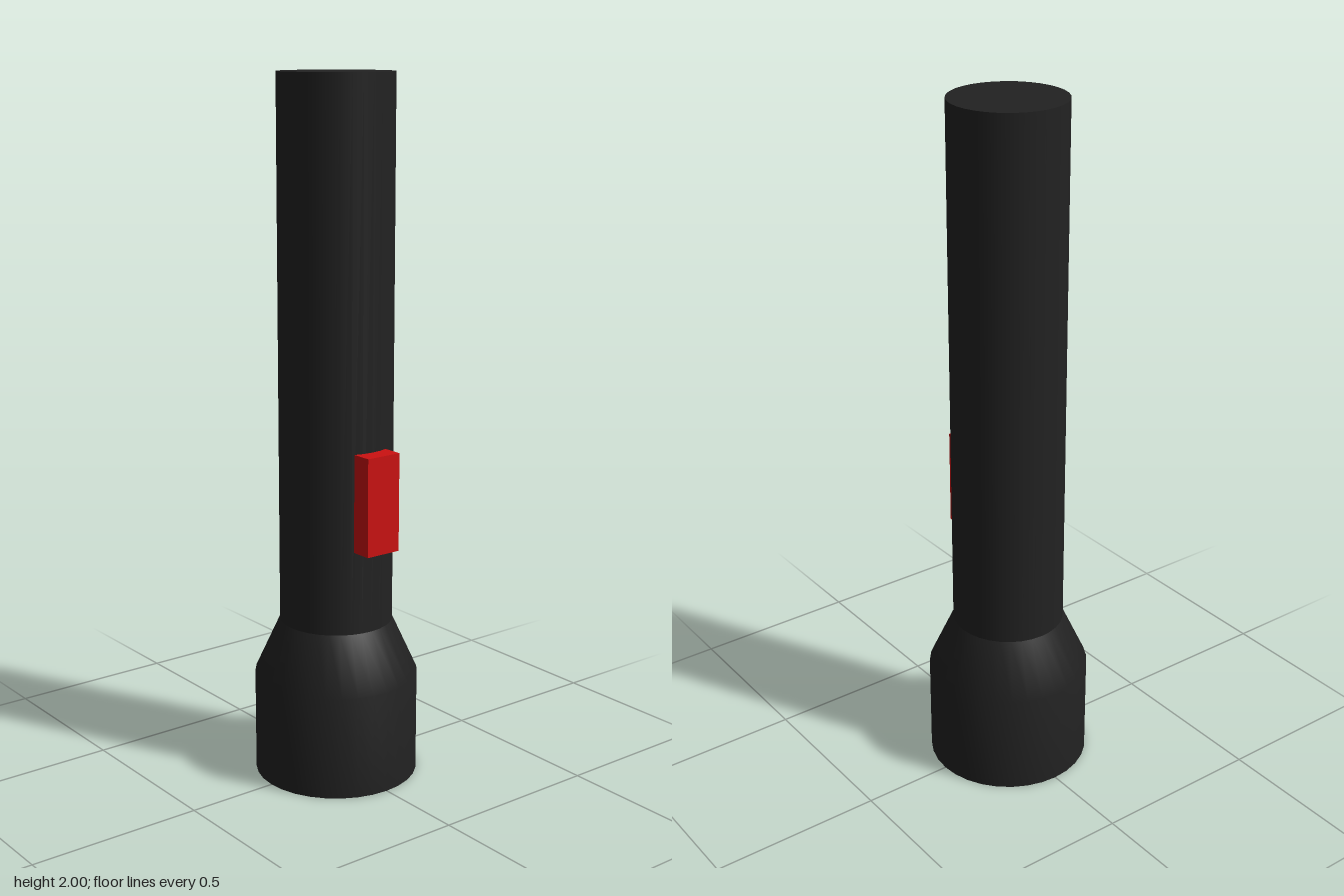
import * as THREE from 'three';

const SEGMENTS = 32;

export function createModel() {
  const model = new THREE.Group();
  model.name = 'flashlight';

  const black = new THREE.MeshStandardMaterial({ color: 0x222222 });
  const red = new THREE.MeshStandardMaterial({ color: 0xcc1111 });
  const grey = new THREE.MeshStandardMaterial({ color: 0xcccccc });

  const add = (name, geometry, material, x = 0, y = 0, z = 0) => {
    const mesh = new THREE.Mesh(geometry, material);
    mesh.name = name;
    mesh.position.set(x, y, z);
    model.add(mesh);
    return mesh;
  };
  const lathe = (points) =>
    new THREE.LatheGeometry(points.map(([r, y]) => new THREE.Vector2(r, y)), SEGMENTS);

  const bodyR = 0.162, headR = 0.235, boreR = 0.217, lensY = 0.15;

  // Handle tube, closed at the tail
  add('handle', new THREE.CylinderGeometry(bodyR, bodyR, 1.54, SEGMENTS), black, 0, 1.23);

  // Flared head
  add('headShell', lathe([[headR, 0], [headR, 0.3], [bodyR, 0.46]]), black);

  // Rim and recessed bore at the open end
  add('headRim', lathe([[boreR, 0], [headR, 0]]), black);
  add('headBore', lathe([[boreR, lensY], [boreR, 0]]), black);

  // Lens facing down inside the head
  add('lens', new THREE.CircleGeometry(boreR, SEGMENTS), grey, 0, lensY).rotation.x = Math.PI / 2;

  // Slide switch on the side
  add('switchButton', new THREE.BoxGeometry(0.062, 0.28, 0.11), red, 0.181, 0.84);

  return model;
}
